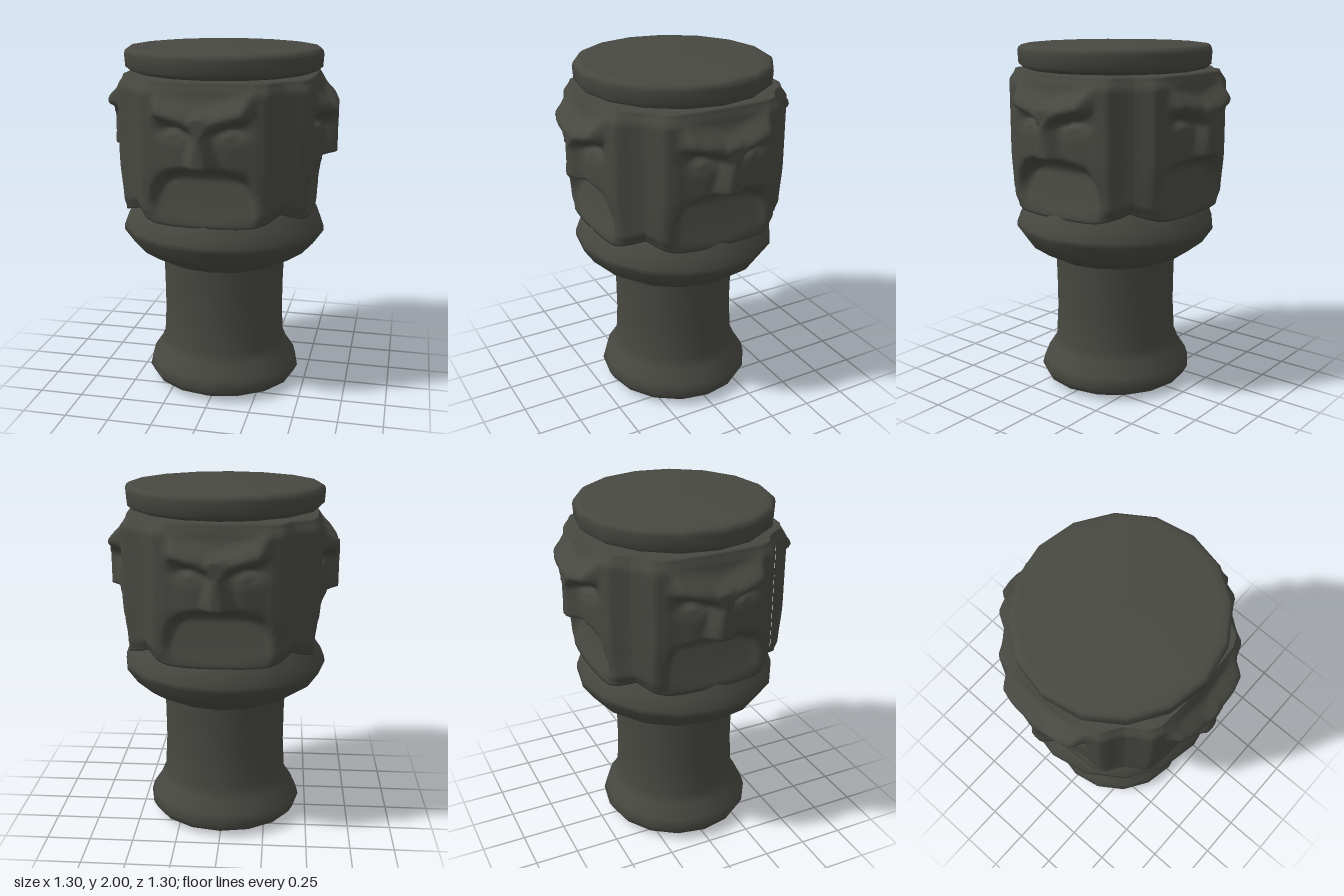
import * as THREE from 'three';

const stone = new THREE.MeshStandardMaterial({ color: 0x484842 });
stone.name = 'dark stone';

const smooth = THREE.MathUtils.smoothstep;
const lerp = THREE.MathUtils.lerp;
const bump = (x, y, cx, cy, rx, ry) => Math.exp(-(((x - cx) / rx) ** 2) - ((y - cy) / ry) ** 2);

// Piecewise linear lookup in [input, output] pairs
function ramp(points, t) {
  for (let i = 1; i < points.length; i++) {
    const [a, va] = points[i - 1], [b, vb] = points[i];
    if (t <= b) return lerp(va, vb, Math.max(0, (t - a) / (b - a)));
  }
  return points[points.length - 1][1];
}

const HALF = 0.42;
const COLUMN = [[0, 0.545], [0.28, 0.543], [0.345, 0.52], [0.375, 0.46], [HALF, 0.403]];

// Depth of one carved face at a point of its panel
function carve(x, y) {
  const ax = Math.abs(x);
  let z = ramp(COLUMN, ax);
  const flank = 1 - smooth(ax, 0.34, 0.4);

  // columns narrow toward the bottom and round over at the top
  z -= 0.018 * (1 - smooth(y, 1.15, 1.4)) * flank;
  z -= 0.02 * smooth(y, 1.79, 1.855) * flank;
  // cheeks slope away from the nose, forehead slopes back
  z += 0.04 * (1 - smooth(ax, 0.1, 0.3)) * smooth(y, 1.33, 1.42) * (1 - smooth(y, 1.68, 1.8));
  // arched hollow mouth, rising steadily to the lower lip
  const arch = (ax / 0.31) ** 3 + (Math.max(0, y - 1.1) / 0.325) ** 3;
  const hollow = 0.075 * THREE.MathUtils.clamp((y - 1.1) / 0.22, 0, 1);
  z -= hollow * (1 - smooth(arch, 0.5, 1));
  // slanted brow
  const browY = 1.61 + 0.33 * ax;
  const brow = smooth(y, browY - 0.04, browY + 0.01) * (1 - smooth(y, browY + 0.02, browY + 0.13));
  z += 0.065 * brow * (1 - smooth(ax, 0.225, 0.28));
  // eye sockets with small eyes
  z -= 0.055 * bump(ax, y, 0.15, 1.61, 0.075, 0.04);
  z += 0.03 * bump(ax, y, 0.15, 1.59, 0.04, 0.02);
  // nose ridge, wider at the tip
  const width = lerp(0.11, 0.06, smooth(y, 1.42, 1.6));
  z += 0.075 * (1 - smooth(ax, 0.01, width)) * smooth(y, 1.395, 1.425) * (1 - smooth(y, 1.6, 1.74));
  return Math.min(z, 0.65);
}

function panelGeometry() {
  const nx = 48, ny = 56;
  const g = new THREE.PlaneGeometry(1, 1, nx, ny);
  const p = g.attributes.position;
  for (let i = 0; i < p.count; i++) {
    const u = p.getX(i) * 2, v = p.getY(i) + 0.5;
    const x = u * HALF;
    const bottom = 1.075 + 0.065 * u ** 4;
    const row = Math.round(v * ny);
    const t = THREE.MathUtils.clamp((row - 1) / (ny - 2), 0, 1);
    const y = lerp(bottom, 1.855, t);
    // corners lean in at both ends; first and last rows fold inward to close the block
    const lean = 1 - u * u * (0.055 * smooth(y, 1.78, 1.86) + 0.05 * (1 - smooth(t, 0, 0.09)));
    const k = row === 0 || row === ny ? 0.6 : lean;
    p.setXYZ(i, x * k, y, carve(x, y) * k);
  }
  g.computeVertexNormals();
  return g;
}

function turned(name, profile) {
  const points = profile.map(([r, y]) => new THREE.Vector2(r, y));
  const mesh = new THREE.Mesh(new THREE.LatheGeometry(points, 16), stone);
  mesh.name = name;
  mesh.scale.z = 0.975;
  return mesh;
}

export function createModel() {
  const group = new THREE.Group();
  group.name = 'carvedPost';

  group.add(turned('pedestal', [
    [0, 0], [0.34, 0], [0.37, 0.004], [0.43, 0.035], [0.455, 0.08], [0.44, 0.135],
    [0.39, 0.21], [0.365, 0.27], [0.355, 0.45], [0.357, 0.65], [0.362, 0.79],
  ]));
  group.add(turned('collar', [
    [0.33, 0.755], [0.365, 0.768], [0.44, 0.805], [0.53, 0.865], [0.59, 0.95],
    [0.588, 0.98], [0.565, 1.04], [0.53, 1.09], [0.5, 1.13], [0.45, 1.16], [0, 1.17],
  ]));
  group.add(turned('cap', [
    [0, 1.85], [0.47, 1.85], [0.53, 1.866], [0.558, 1.89], [0.563, 1.96],
    [0.557, 1.98], [0.54, 1.992], [0.5, 1.997], [0, 2],
  ]));

  // four identical carved faces around the head, the side pair set slightly back
  const face = panelGeometry();
  for (let i = 0; i < 4; i++) {
    const mesh = new THREE.Mesh(face, stone);
    mesh.name = 'carvedFace' + (i + 1);
    mesh.rotation.y = (i * Math.PI) / 2;
    mesh.position.z = i % 2 ? -0.013 : -0.005;
    group.add(mesh);
  }
  return group;
}
